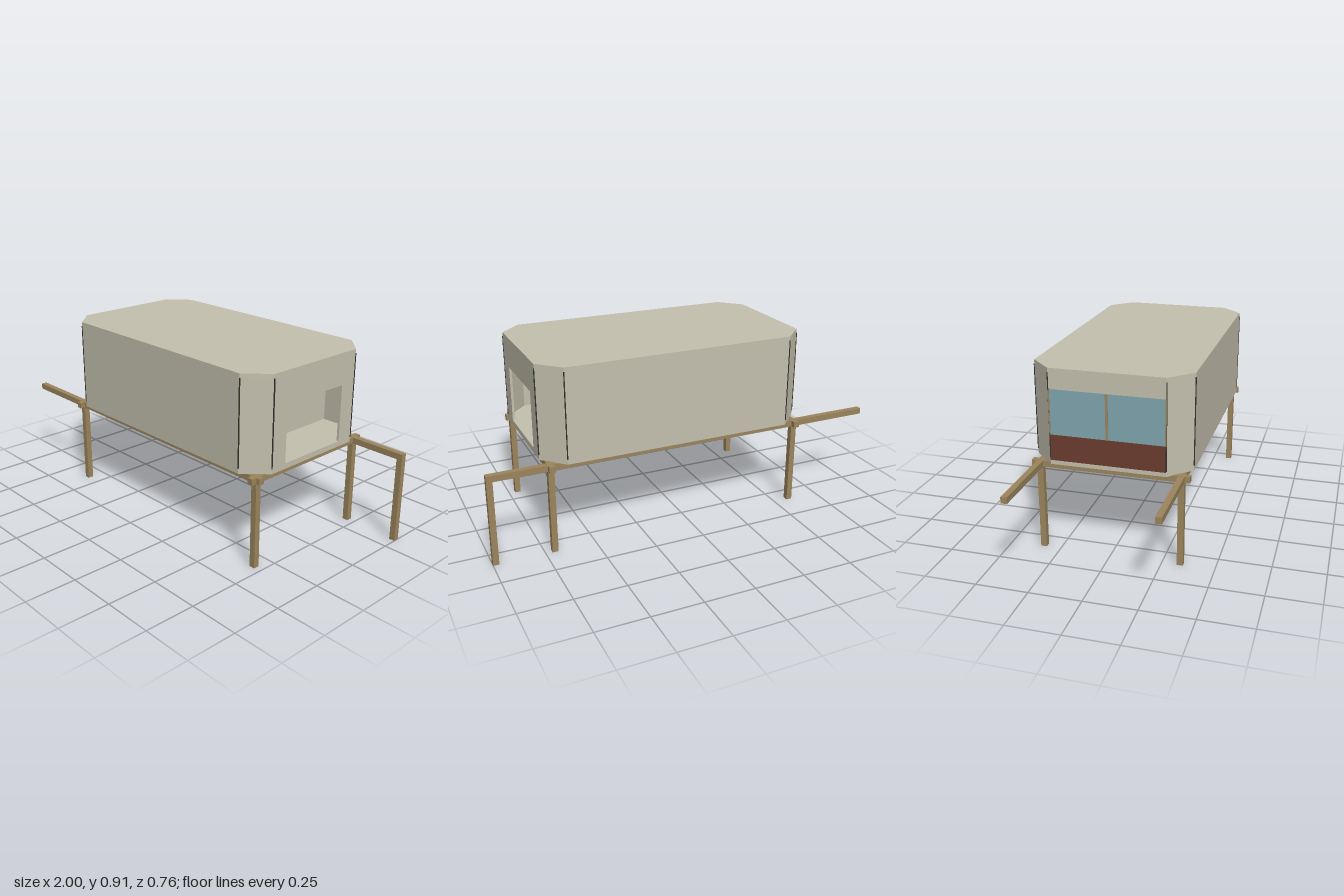
import * as THREE from 'three';

const mat = (name, color) => {
  const m = new THREE.MeshStandardMaterial({ color });
  m.name = name;
  return m;
};

export function createModel() {
  const group = new THREE.Group();
  const beige = mat('beigePanel', 0xc4c0ae);
  const wood = mat('wood', 0x9c855d);
  const glass = mat('tealGlass', 0x7fa5ae);
  const brown = mat('redBrown', 0x6b3c2f);
  const dark = mat('darkSeam', 0x33322e);

  const add = (name, geometry, material) => {
    const mesh = new THREE.Mesh(geometry, material);
    mesh.name = name;
    group.add(mesh);
    return mesh;
  };
  // Box given by its lower and upper corners
  const box = (name, material, [x0, y0, z0], [x1, y1, z1]) => {
    const m = add(name, new THREE.BoxGeometry(x1 - x0, y1 - y0, z1 - z0), material);
    m.position.set((x0 + x1) / 2, (y0 + y1) / 2, (z0 + z1) / 2);
    return m;
  };
  // Upright prism over a plan outline of [x, z] points
  const prism = (name, material, plan, y0, y1) => {
    const shape = new THREE.Shape(plan.map(([x, z]) => new THREE.Vector2(x, -z)));
    const g = new THREE.ExtrudeGeometry(shape, { depth: y1 - y0, bevelEnabled: false });
    g.rotateX(-Math.PI / 2);
    g.translate(0, y0, 0);
    return add(name, g, material);
  };

  // Chamfered plan, inset by t
  const X0 = -0.62, X1 = 0.735, Z = 0.376, C = 0.104;
  const plan = (t) => {
    const a = X0 + t, b = X1 - t, z = Z - t, c = C - t * 0.586;
    return [[b, z - c], [b, c - z], [b - c, -z], [a + c, -z],
      [a, c - z], [a, z - c], [a + c, z], [b - c, z]];
  };
  const outer = plan(0), inner = plan(0.012);
  const floorY = 0.474, roofY = 0.89, sill = 0.595, head = 0.812;

  prism('floor', beige, outer, 0.449, floorY);
  prism('roof', beige, outer, roofY, 0.91);

  // Walls, one per plan side; side 0 is the doorway end, side 4 the window end
  for (let i = 1; i < 8; i++) {
    const j = (i + 1) % 8;
    const strip = [outer[i], outer[j], inner[j], inner[i]];
    if (i === 4) prism('windowHeader', beige, strip, head, roofY);
    else prism(i % 2 ? 'cornerWall' : 'sideWall', beige, strip, floorY, roofY);
  }

  // Doorway end wall with its opening
  const end = new THREE.Shape();
  const half = Z - C;
  end.moveTo(-half, floorY).lineTo(half, floorY).lineTo(half, roofY).lineTo(-half, roofY);
  const hole = new THREE.Path();
  hole.moveTo(-0.186, 0.476).lineTo(-0.186, 0.754).lineTo(0.186, 0.754).lineTo(0.186, 0.476);
  end.holes.push(hole);
  const endGeo = new THREE.ExtrudeGeometry(end, { depth: 0.012, bevelEnabled: false });
  endGeo.rotateY(Math.PI / 2);
  endGeo.translate(X1 - 0.012, 0, 0);
  add('doorwayWall', endGeo, beige);

  // Dark seams at the corners
  outer.forEach(([x, z]) => {
    const s = 0.0022;
    box('cornerSeam', dark, [x - s, floorY, z - s], [x + s, roofY, z + s]);
  });

  // Window end: lower panel, glass and wooden bars
  box('lowerPanel', brown, [X0 - 0.002, 0.47, -half], [X0 + 0.01, sill, half]);
  box('windowGlass', glass, [X0 - 0.001, sill, -half], [X0 + 0.007, head, half]);
  for (const z of [-half + 0.002, 0, half - 0.002]) {
    const w = z === 0 ? 0.006 : 0.003;
    box('windowBar', wood, [X0 - 0.004, sill, z - w], [X0 + 0.01, head, z + w]);
  }

  // Interior
  box('partition', beige, [0.488, floorY, -Z + 0.012], [0.5, 0.736, 0.045]);
  box('bedBase', beige, [-0.5, floorY, -0.1], [0.0, 0.534, 0.3]);
  box('bedBoard', wood, [-0.505, 0.534, -0.105], [0.005, 0.54, 0.305]);
  const cushion = add('cushion', new THREE.SphereGeometry(1, 20, 12), glass);
  cushion.scale.set(0.07, 0.025, 0.07);
  cushion.position.set(-0.4, 0.562, 0.1);
  box('shelf', brown, [X0 + 0.012, 0.585, -0.26], [X0 + 0.06, 0.593, 0.26]);

  // Timber frame: long rails, cross beams and legs
  const B = 0.0145, beamLow = 0.42, beamTop = 0.45, railZ = 0.336;
  box('frontRail', wood, [-1, beamLow, railZ - B], [X1, beamTop, railZ + B]);
  box('backRail', wood, [-1, beamLow, -railZ - B], [1, beamTop, -railZ + B]);
  for (const x of [-0.586, 0.703]) {
    box('crossBeam', wood, [x - B, beamLow + 0.001, -Z], [x + B, beamTop + 0.001, Z]);
    for (const z of [-railZ, railZ]) {
      box('leg', wood, [x - B, 0, z - B], [x + B, beamLow, z + B]);
    }
  }
  box('outerLeg', wood, [1 - 2 * B, 0, -railZ - B], [1, beamLow, -railZ + B]);

  return group;
}
